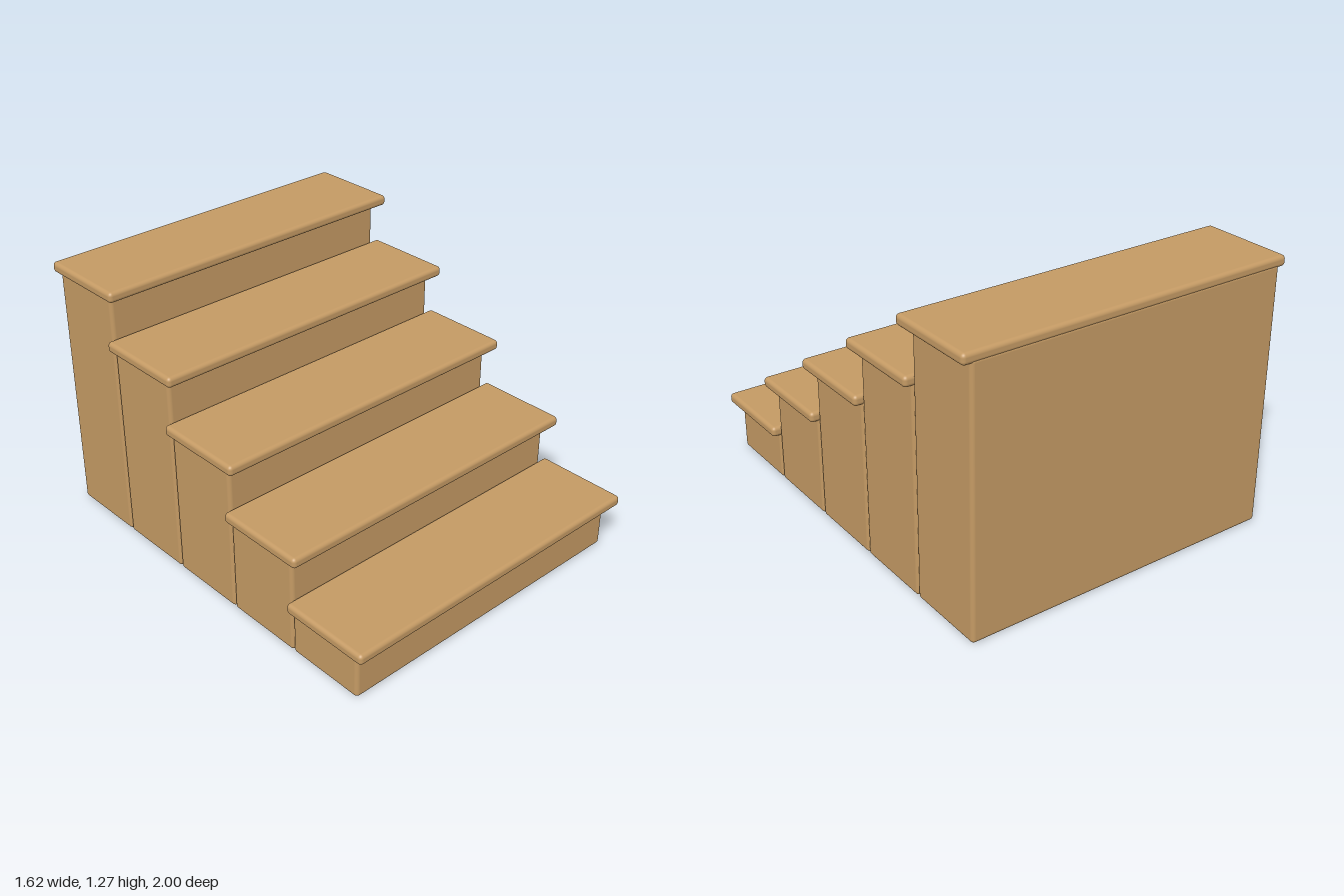
import * as THREE from 'three';
import { RoundedBoxGeometry } from 'three/addons/geometries/RoundedBoxGeometry.js';

const STEPS = 5;
const RISE = 0.248, RUN = 0.3883;
const TREAD = { width: 1.62, height: 0.05, depth: 0.446 };
const BLOCK_WIDTH = 1.546;
const FIRST_TOP = 0.275;

export function createModel() {
  const model = new THREE.Group();
  model.name = 'staircase';
  const wood = new THREE.MeshStandardMaterial({ color: 0xc49a64 });
  wood.name = 'tan wood';

  // Rounded box standing on y = bottom with its back face at z = back
  function addBox(parent, name, width, height, depth, radius, bottom, back) {
    const mesh = new THREE.Mesh(new RoundedBoxGeometry(width, height, depth, 4, radius), wood);
    mesh.name = name;
    mesh.position.set(0, bottom + height / 2, back + depth / 2);
    parent.add(mesh);
  }

  for (let i = 0; i < STEPS; i++) {
    const step = new THREE.Group();
    step.name = `step${i + 1}`;
    const top = FIRST_TOP + i * RISE;
    const back = 1 - TREAD.depth - i * RUN;
    const underside = top - TREAD.height;

    // Solid block reaching the floor, tucked slightly into the tread
    addBox(step, 'riserBlock', BLOCK_WIDTH, underside + 0.02, RUN - 0.001, 0.018, 0, back);
    // Tread overhanging the front and both sides
    addBox(step, 'tread', TREAD.width, TREAD.height, TREAD.depth, 0.018, underside, back);
    model.add(step);
  }
  return model;
}
